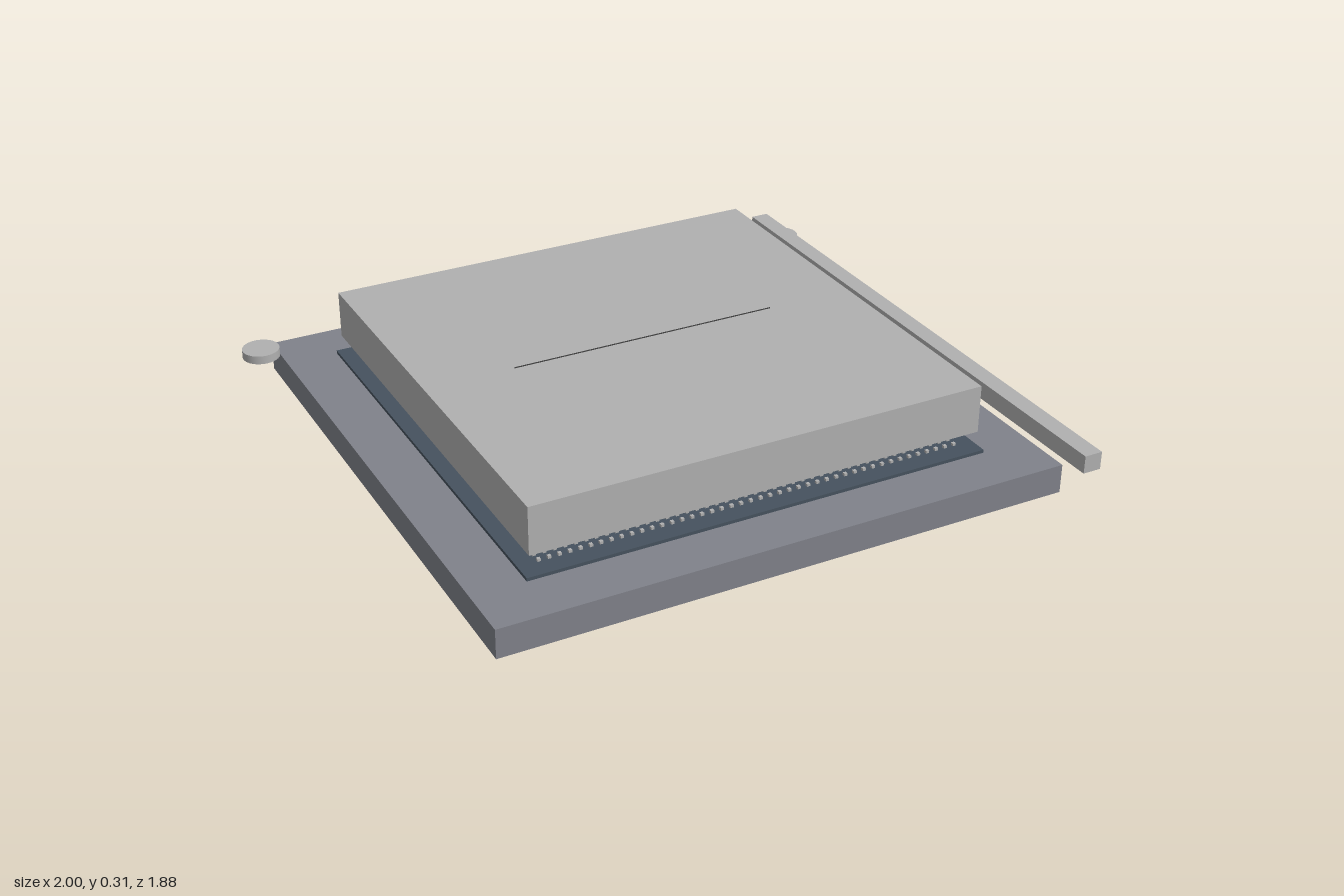
import * as THREE from 'three';
import { mergeGeometries } from 'three/addons/utils/BufferGeometryUtils.js';

export function createModel() {
  const model = new THREE.Group();
  model.name = 'processorSocket';

  const material = (name, color, side = THREE.FrontSide) => {
    const m = new THREE.MeshStandardMaterial({ color, side });
    m.name = name;
    return m;
  };
  const silver = material('silver', 0xb0b0b0);
  const frameGrey = material('frame grey', 0x80828a);
  const darkSlate = material('dark slate', 0x46525e);
  const markGrey = material('mark grey', 0x444444, THREE.DoubleSide);

  const add = (name, geometry, mat, x, y, z) => {
    const mesh = new THREE.Mesh(geometry, mat);
    mesh.name = name;
    mesh.position.set(x, y, z);
    model.add(mesh);
    return mesh;
  };
  // Box given by its centre in plan and its bottom and top heights
  const slab = (name, mat, w, d, y0, y1, x = 0, z = 0) =>
    add(name, new THREE.BoxGeometry(w, y1 - y0, d), mat, x, (y0 + y1) / 2, z);

  // Socket base, contact plate and raised metal lid
  slab('base', frameGrey, 1.76, 1.76, 0, 0.09);
  slab('contactPlate', darkSlate, 1.44, 1.44, 0.088, 0.1);
  slab('lid', silver, 1.41, 1.41, 0.156, 0.304);

  // Fine grid of contact pins in the gap under the lid
  const pins = [];
  const count = 44, step = 0.0306;
  for (let i = 0; i < count; i++) {
    for (let j = 0; j < count; j++) {
      const pin = new THREE.BoxGeometry(0.01, 0.008, 0.01);
      pin.translate((i - (count - 1) / 2) * step, 0, (j - (count - 1) / 2) * step);
      pins.push(pin);
    }
  }
  add('contactPins', mergeGeometries(pins), silver, 0, 0.104, 0);

  // Thin upright marking fin standing out of the lid
  add('lidMark', new THREE.PlaneGeometry(0.85, 0.01), markGrey, 0, 0.303, 0);

  // Hinge discs on both sides, towards the back
  for (const side of [-1, 1]) {
    add('hingeDisc', new THREE.CylinderGeometry(0.058, 0.058, 0.027, 32), silver, side * 0.94, 0.112, -0.797);
  }

  // Locking lever along the left edge
  slab('lever', silver, 0.058, 1.88, 0.085, 0.141, 0.938, 0);

  return model;
}
